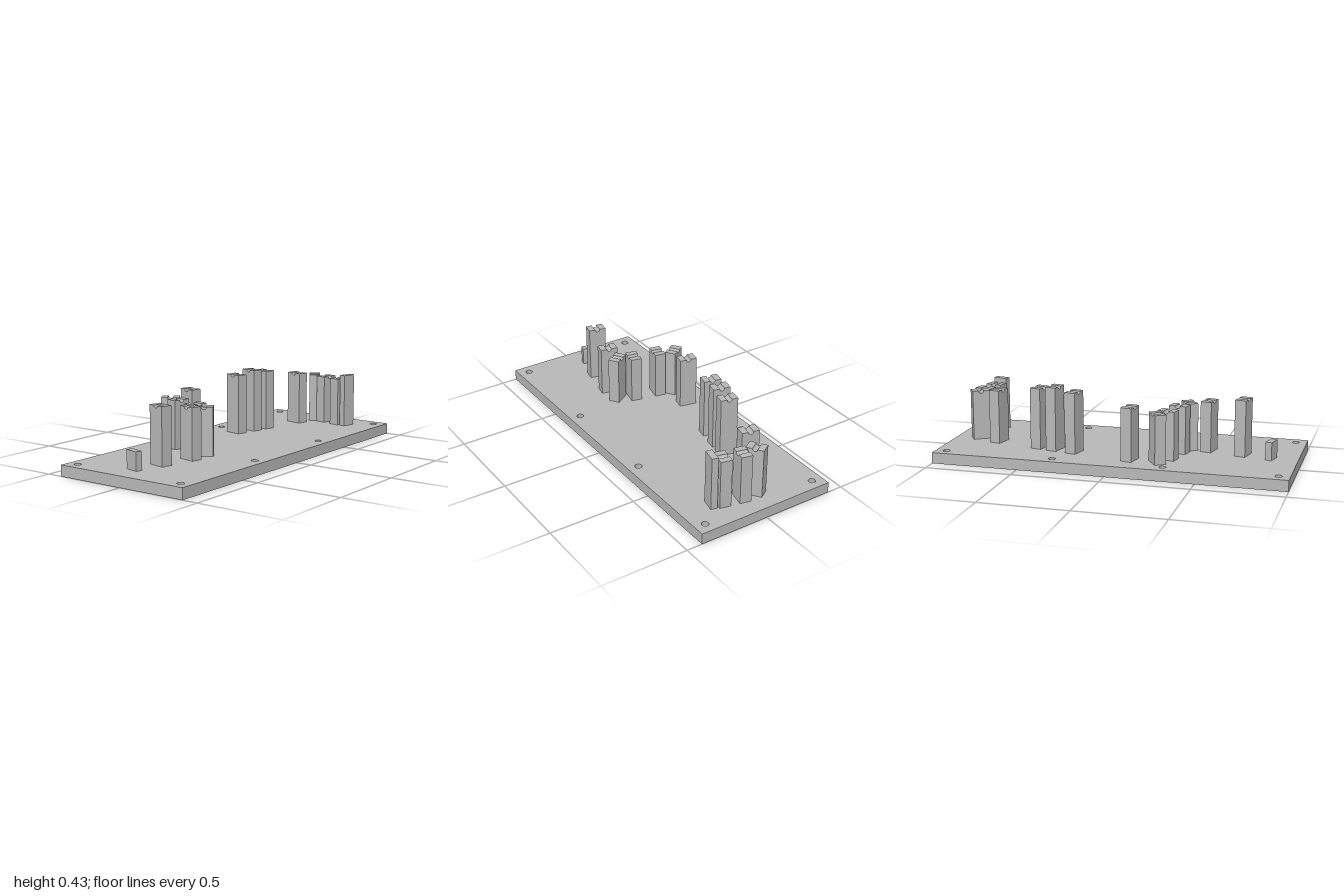
import * as THREE from 'three';

const PLATE_TOP = 0.0625;

export function createModel() {
  const model = new THREE.Group();
  const grey = new THREE.MeshStandardMaterial({ color: 0xb8b8b8 });
  grey.name = 'grey';

  const add = (name, geometry) => {
    const mesh = new THREE.Mesh(geometry, grey);
    mesh.name = name;
    model.add(mesh);
    return mesh;
  };

  // Base plate with two rows of screw holes
  const outline = new THREE.Shape([
    new THREE.Vector2(-1, -0.41), new THREE.Vector2(1, -0.41),
    new THREE.Vector2(1, 0.41), new THREE.Vector2(-1, 0.41),
  ]);
  for (const x of [-0.9375, -0.3125, 0.3125, 0.9375]) {
    for (const z of [-0.3475, 0.3475]) {
      outline.holes.push(new THREE.Path().absarc(x, z, 0.02, 0, Math.PI * 2, true));
    }
  }
  const plate = new THREE.ExtrudeGeometry(outline, { depth: PLATE_TOP, bevelEnabled: false, curveSegments: 16 });
  add('basePlate', plate.rotateX(-Math.PI / 2));

  // Post profile: a block with a half-round cradle across the top
  function cradlePost(height, length = 0.1, width = 0.064, r = 0.0145) {
    const s = new THREE.Shape();
    s.moveTo(-length / 2, 0);
    s.lineTo(length / 2, 0);
    s.lineTo(length / 2, height);
    s.lineTo(r, height);
    s.absarc(0, height, r, 0, Math.PI, true);
    s.lineTo(-length / 2, height);
    s.closePath();
    return new THREE.ExtrudeGeometry(s, { depth: width, bevelEnabled: false, curveSegments: 16 })
      .translate(0, 0, -width / 2).rotateY(-Math.PI / 2);
  }

  // Cradle posts: x, z, top height, turn in degrees
  const posts = [
    [-0.685, 0.011, 0.382, -12],
    [-0.485, 0.051, 0.351, -12],
    [-0.372, 0.055, 0.334, 33],
    [-0.334, -0.035, 0.335, 78],
    [-0.303, -0.182, 0.338, 78],
    [-0.264, -0.268, 0.338, 33],
    [-0.105, -0.252, 0.363, -12],
    [0.237, -0.178, 0.41, -12],
    [0.358, -0.152, 0.427, -12],
    [0.455, -0.132, 0.412, -12],
    [0.724, -0.073, 0.37, -12],
    [0.854, -0.03, 0.349, 123],
    [0.853, 0.056, 0.345, 78],
    [0.83, 0.168, 0.345, 78],
  ];
  for (const [x, z, top, turn] of posts) {
    const post = add('cradlePost', cradlePost(top - PLATE_TOP));
    post.position.set(x, PLATE_TOP, z);
    post.rotation.y = THREE.MathUtils.degToRad(turn);
  }

  // Plain end stops
  for (const [x, z, top, turn] of [[-0.85, -0.03, 0.165, -14], [0.818, 0.227, 0.371, 78]]) {
    const h = top - PLATE_TOP;
    const stop = add('endStop', new THREE.BoxGeometry(0.037, h, 0.083));
    stop.position.set(x, PLATE_TOP + h / 2, z);
    stop.rotation.y = THREE.MathUtils.degToRad(turn);
  }
  return model;
}
